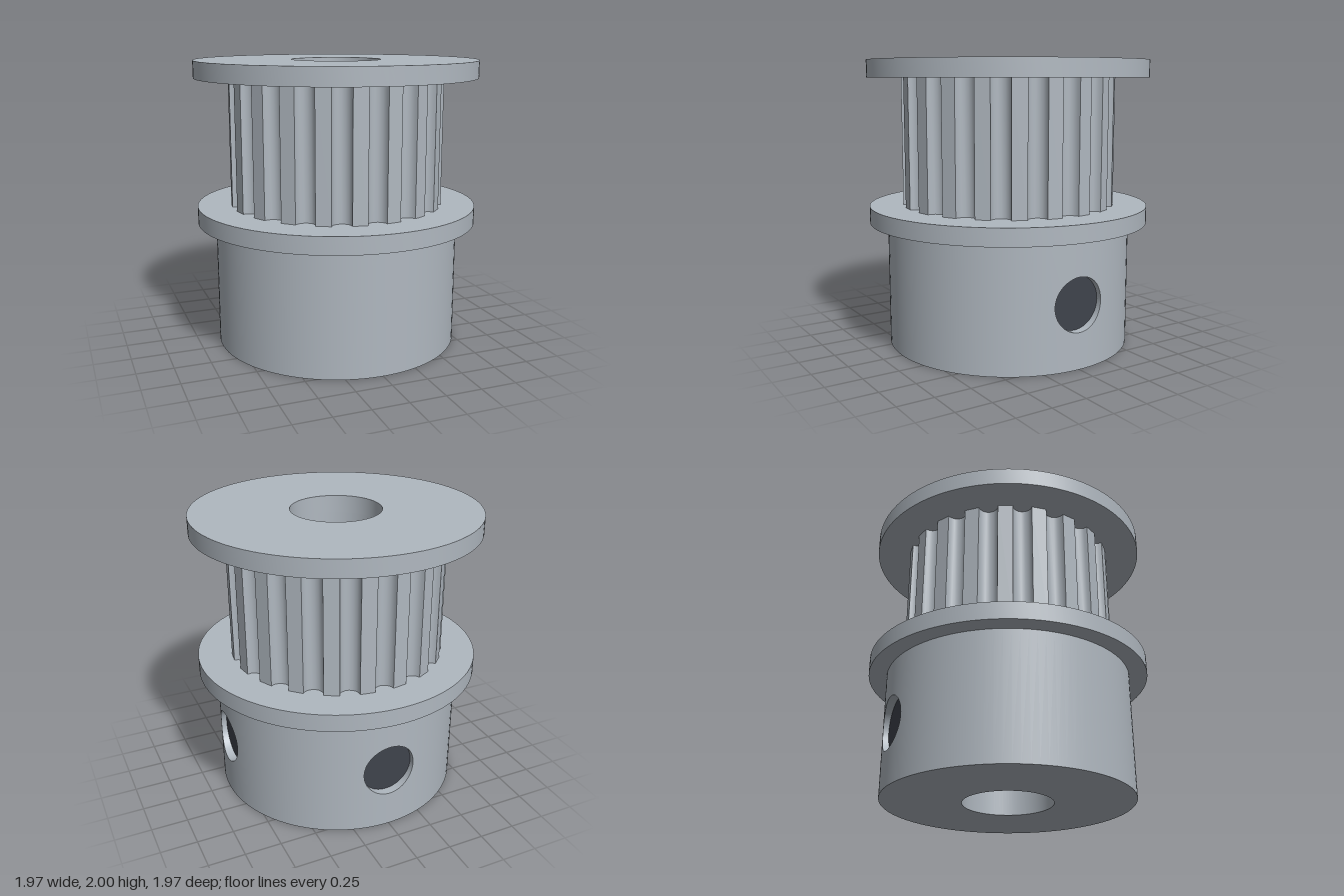
import * as THREE from 'three';
import { toCreasedNormals } from 'three/addons/utils/BufferGeometryUtils.js';

const BORE = 0.31, HUB_R = 0.86, HUB_H = 0.87, FLANGE_R = 0.985, TOOTH_R = 0.75;
const HOLE_R = 0.185, HOLE_Y = HUB_H / 2, SCREW_X = 0.8;
const PATCH = Math.PI / 12; // half angle of the hub wall panel around a screw hole

// Extrudes an outline, bored through the middle, from y0 up to y1
function boredPlate(shape, y0, y1) {
  shape.holes.push(new THREE.Path().absarc(0, 0, BORE, 0, Math.PI * 2, true));
  const geo = new THREE.ExtrudeGeometry(shape, { depth: y1 - y0, bevelEnabled: false, curveSegments: 64 });
  geo.rotateX(-Math.PI / 2).translate(0, y0, 0);
  return toCreasedNormals(geo, 0.5);
}

function disc(radius) {
  return new THREE.Shape().absarc(0, 0, radius, 0, Math.PI * 2, false);
}

// Belt outline: flat lands between half-round grooves
function toothOutline(teeth = 20, grooveR = 0.066, steps = 8) {
  const points = [];
  const edge = Math.asin(grooveR / TOOTH_R);
  const centre = TOOTH_R * Math.cos(edge);
  for (let i = 0; i < teeth; i++) {
    const a = (i / teeth) * Math.PI * 2;
    for (let j = 0; j <= steps; j++) {
      const t = -Math.PI / 2 + (j / steps) * Math.PI;
      const x = centre - grooveR * Math.cos(t), y = grooveR * Math.sin(t);
      points.push(new THREE.Vector2(x * Math.cos(a) - y * Math.sin(a), x * Math.sin(a) + y * Math.cos(a)));
    }
  }
  return new THREE.Shape(points);
}

// Surface made of closed rings; point(k, t) has k from 0 to 1 and t around the ring
function ringSurface(point, rings, sides = 64) {
  const positions = [], index = [];
  for (let k = 0; k <= rings; k++) {
    for (let i = 0; i < sides; i++) {
      positions.push(...point(k / rings, (i / sides) * Math.PI * 2));
      if (k === rings) continue;
      const a = k * sides + i, b = k * sides + ((i + 1) % sides);
      index.push(a, a + sides, b + sides, a, b + sides, b);
    }
  }
  const geo = new THREE.BufferGeometry();
  geo.setAttribute('position', new THREE.Float32BufferAttribute(positions, 3));
  geo.setIndex(index);
  geo.computeVertexNormals();
  return geo;
}

// Curved hub panel running from the round hole out to a rectangular border
function panelPoint(k, t) {
  const c = Math.cos(t), s = Math.sin(t), m = Math.max(Math.abs(c), Math.abs(s));
  const angle = THREE.MathUtils.lerp(Math.asin((HOLE_R * c) / HUB_R), (PATCH * c) / m, k);
  const y = THREE.MathUtils.lerp(HOLE_R * s, (HOLE_Y * s) / m, k);
  return [HUB_R * Math.cos(angle), HOLE_Y + y, -HUB_R * Math.sin(angle)];
}

// Hole side, from the screw face out to the hub surface
function holePoint(k, t) {
  const z = -HOLE_R * Math.cos(t);
  const x = THREE.MathUtils.lerp(SCREW_X, Math.sqrt(HUB_R * HUB_R - z * z), k);
  return [x, HOLE_Y + HOLE_R * Math.sin(t), z];
}

export function createModel() {
  const model = new THREE.Group();
  model.name = 'timingPulley';
  const metal = new THREE.MeshStandardMaterial({ color: 0xb0b8c0 });
  metal.name = 'aluminium';
  const dark = new THREE.MeshStandardMaterial({ color: 0x3f434c });
  dark.name = 'darkSteel';

  function add(parent, name, geometry, material = metal) {
    const mesh = new THREE.Mesh(geometry, material);
    mesh.name = name;
    parent.add(mesh);
    return mesh;
  }

  // Flanges and toothed belt drum
  add(model, 'topFlange', boredPlate(disc(FLANGE_R), 1.88, 2));
  add(model, 'toothedDrum', boredPlate(toothOutline(), 0.99, 1.88));
  add(model, 'lowerFlange', boredPlate(disc(FLANGE_R), HUB_H, 0.99));

  // Hub bore and underside
  const profile = [[BORE, HUB_H], [BORE, 0], [HUB_R, 0]].map(([x, y]) => new THREE.Vector2(x, y));
  add(model, 'hubBoreAndBase', toCreasedNormals(new THREE.LatheGeometry(profile, 96), 0.5));

  // Plain hub wall between the two screw panels
  const walls = [
    [Math.PI + PATCH, 1.5 * Math.PI - 2 * PATCH, 66],
    [Math.PI / 2 + PATCH, Math.PI / 2 - 2 * PATCH, 16],
  ];
  for (const [start, length, segments] of walls) {
    const wall = new THREE.CylinderGeometry(HUB_R, HUB_R, HUB_H, segments, 1, true, start, length);
    add(model, 'hubWall', wall.translate(0, HUB_H / 2, 0));
  }

  // Set screws on the left side and at the back
  for (const turn of [0, Math.PI / 2]) {
    const group = new THREE.Group();
    group.name = 'setScrew';
    group.rotation.y = turn;
    add(group, 'holePanel', ringSurface(panelPoint, 6));
    add(group, 'holeSide', ringSurface(holePoint, 1));
    const screw = new THREE.CylinderGeometry(HOLE_R, HOLE_R, 0.3, 64).rotateZ(-Math.PI / 2);
    add(group, 'screw', screw.translate(SCREW_X - 0.15, HOLE_Y, 0), dark);
    model.add(group);
  }
  return model;
}
